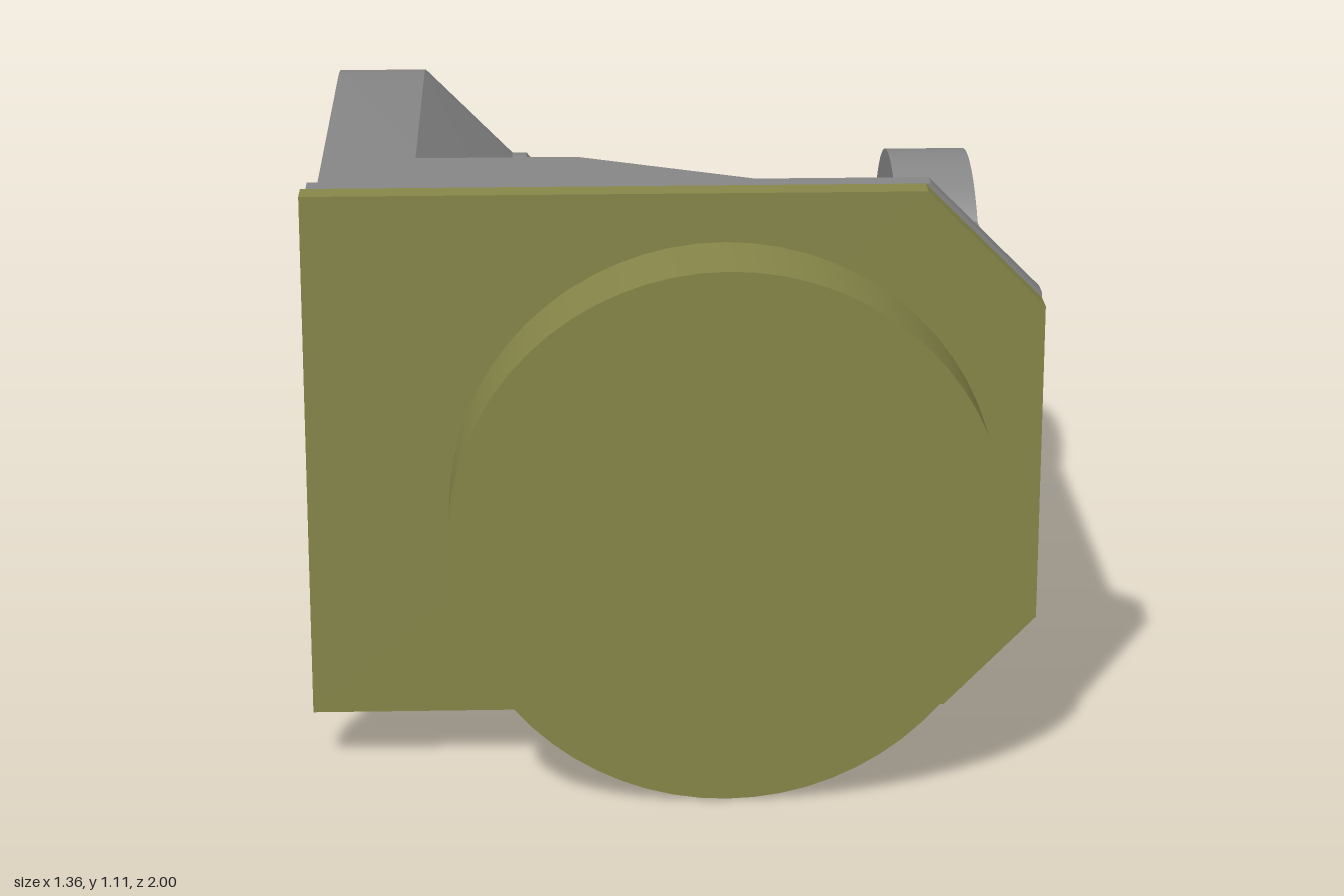
import * as THREE from 'three';
import { toCreasedNormals } from 'three/addons/utils/BufferGeometryUtils.js';

const grey = new THREE.MeshStandardMaterial({ color: 0x868686 });
const olive = new THREE.MeshStandardMaterial({ color: 0x868649 });

// Closed solid through matching [z, y] outlines placed along x; outlines run counter-clockwise
function loft(sections) {
  const pos = [];
  const put = (x, p) => pos.push(x, p[1], p[0]);
  for (let s = 0; s < sections.length - 1; s++) {
    const [x0, a] = sections[s], [x1, b] = sections[s + 1];
    for (let i = 0; i < a.length; i++) {
      const j = (i + 1) % a.length;
      put(x0, a[i]); put(x1, b[i]); put(x0, a[j]);
      put(x0, a[j]); put(x1, b[i]); put(x1, b[j]);
    }
  }
  const cap = ([x, pts], flip) => {
    const faces = THREE.ShapeUtils.triangulateShape(pts.map(p => new THREE.Vector2(...p)), []);
    for (const f of faces) (flip ? [f[2], f[1], f[0]] : f).forEach(k => put(x, pts[k]));
  };
  cap(sections[0], false);
  cap(sections[sections.length - 1], true);
  const geo = new THREE.BufferGeometry();
  geo.setAttribute('position', new THREE.Float32BufferAttribute(pos, 3));
  return toCreasedNormals(geo, 0.3);
}

// Disc along x, centred on the pivot axis
function pivotDisc(x0, x1, r0, r1) {
  const geo = new THREE.CylinderGeometry(r1, r0, x1 - x0, 64);
  geo.rotateZ(-Math.PI / 2);
  geo.translate((x0 + x1) / 2, 0.51, -0.49);
  return geo;
}

// Flat plate with two cut corners on the left side
function plate(z0, z1, left, top, bottom) {
  const shape = new THREE.Shape([
    [left, 0.105], [0.51, 0.105], [0.68, bottom], [0.68, top], [0.68 - (1.11 - top), 1.11], [left, 1.11],
  ].map(p => new THREE.Vector2(...p)));
  const geo = new THREE.ExtrudeGeometry(shape, { depth: z1 - z0, bevelEnabled: false });
  geo.translate(0, 0, z0);
  return geo;
}

// Large arm outline: straight from the plate, round at the rear, cut flat below
const rInner = 0.318;
function bigArmOutline(r) {
  const pts = [[0.72, 0.2], [0.72, 0.51 + r]];
  const arc = (a, shift) => pts.push([-0.49 + r * Math.cos(a) + shift, 0.51 + r * Math.sin(a)]);
  const cut = radius => 2 * Math.PI - Math.asin(0.28 / radius);
  const start = Math.PI / 2, shared = cut(rInner), end = cut(r);
  for (let i = 0; i <= 40; i++) arc(start + (shared - start) * i / 40, 0);
  for (let i = 1; i <= 8; i++) arc(shared + (end - shared) * i / 8, 0.001 * i);
  pts.push([0.2, 0.23]);
  return pts;
}

// Web outline at a given x: flat top, shallow slope, steep scooped rear, hollow underside
function webOutline(x) {
  const t = (x - 0.1) / 0.2;
  const scoop = Math.abs(t) < 1 ? 0.06 * (1 - t * t) : 0;
  const top = 1.02 - Math.max(0, x - 0.43);
  let zTop = 0.2 + 0.517 * Math.max(0, x + 0.17);
  if (x > 0.43) zTop = 0.51 - (x - 0.43);
  const drop = Math.max(0.001, (0.23 * (x + 0.17) - 0.445 * scoop) / 0.733);
  const zRidge = Math.min(0.2 - 0.6 * drop + scoop, zTop - 0.001);
  const under = 0.23 + 0.16 * THREE.MathUtils.smoothstep(x, -0.34, 0.1);
  const zRear = -0.09 + scoop;
  const zHollow = 0.45 + 0.38 * x;
  return [
    [0.72, 0.22], [0.72, top], [zTop, top], [zRidge, 1.02 - drop], [zRear, 0.545],
    [zRear, 0.37 + 0.31 * x], [zHollow - 0.28, under + 0.01], [zHollow - 0.13, under], [zHollow, 0.23],
  ];
}

export function createModel() {
  const model = new THREE.Group();
  const add = (name, geo, mat = grey) => {
    const mesh = new THREE.Mesh(geo, mat);
    mesh.name = name;
    model.add(mesh);
  };

  // Front coupling
  const coupling = new THREE.CylinderGeometry(0.508, 0.508, 0.25, 64);
  coupling.rotateX(Math.PI / 2);
  coupling.translate(0.09, 0.51, 0.875);
  add('couplingDisc', coupling, olive);
  add('frontPlate', plate(0.755, 0.81, -0.68, 0.89, 0.28), olive);
  add('backingPlate', plate(0.71, 0.755, -0.67, 0.9, 0.27));

  // Large arm with bevelled inner side
  const wide = bigArmOutline(0.51);
  add('largeArm', loft([[-0.67, wide], [-0.487, wide], [-0.29, bigArmOutline(rInner)]]));
  add('bearingPad', pivotDisc(-0.305, -0.27, 0.328, 0.328));
  add('bearingPadRim', pivotDisc(-0.27, -0.25, 0.328, 0.305));

  // Web joining both arms
  const xs = [-0.49, -0.34, -0.28, -0.22, -0.17];
  for (let i = 0; i <= 16; i++) xs.push(-0.1 + 0.4 * i / 16);
  xs.push(0.36, 0.43, 0.51, 0.545);
  add('web', loft(xs.map(x => [x, webOutline(x)])));

  // Slim arm: a beam with a taller lip along its inner side
  const lip = [
    [0.72, 0.27], [0.72, 0.812], [-0.36, 0.812], [-0.4, 0.5], [-0.31, 0.235], [-0.22, 0.29],
    [0.06, 0.4], [0.45, 0.4], [0.6, 0.27],
  ];
  const beam = [
    [0.72, 0.415], [0.72, 0.75], [-0.27, 0.75], [-0.4, 0.5], [-0.25, 0.3], [-0.2, 0.32],
    [0.14, 0.46], [0.52, 0.46], [0.57, 0.415],
  ];
  add('slimArm', loft([[0.51, lip], [0.545, lip], [0.546, beam], [0.679, beam]]));
  add('slimArmEnd', pivotDisc(0.51, 0.68, 0.33, 0.33));
  return model;
}
